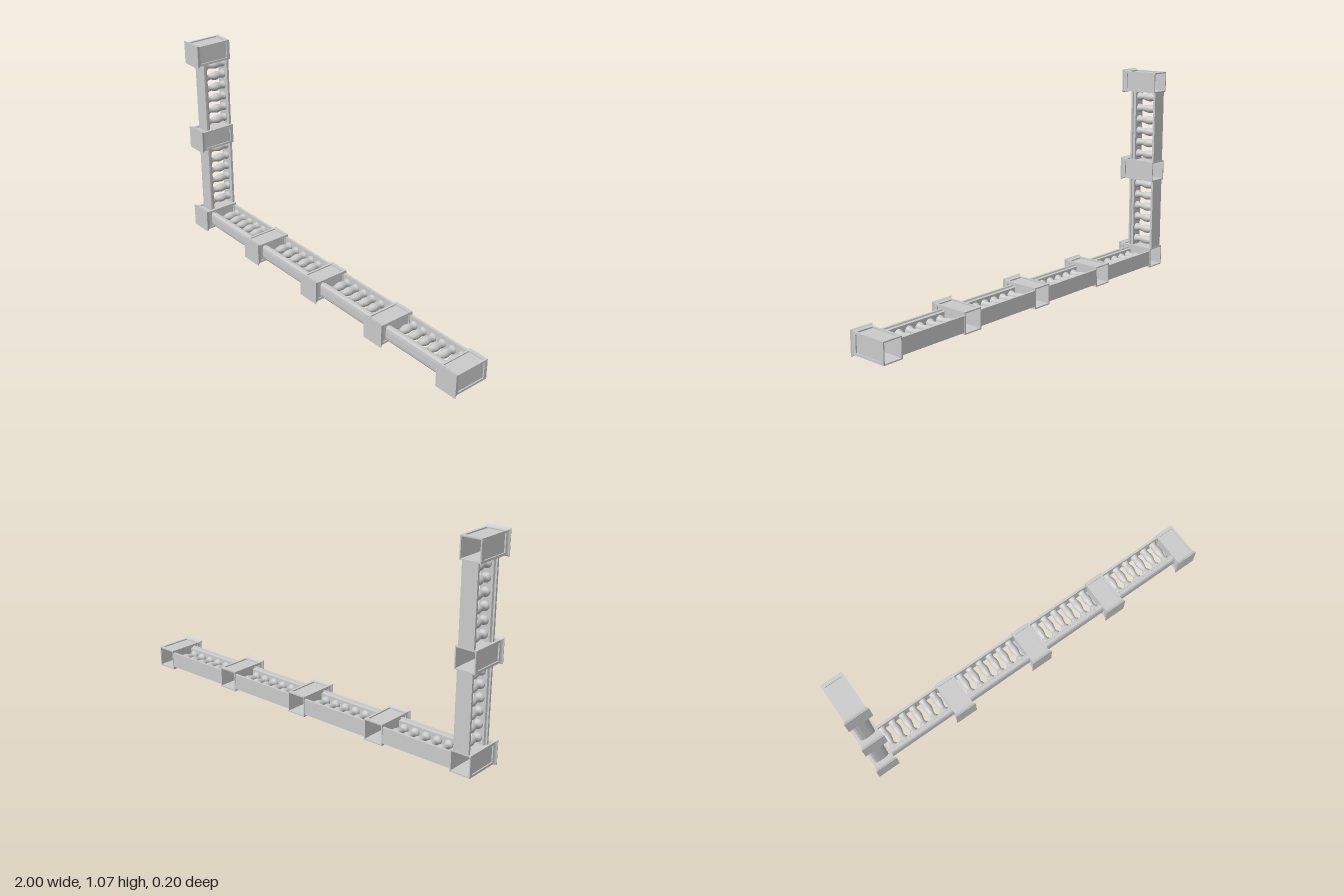
import * as THREE from 'three';

const mat = new THREE.MeshStandardMaterial({ color: 0xcccccc, side: THREE.DoubleSide });
const PITCH = 0.47, BODY = 0.052, BACK = -0.1, NECK = 0.08, TOP = 0.1;

function mesh(geometry, name) {
  const m = new THREE.Mesh(geometry, mat);
  m.name = name;
  return m;
}

function rectangle(path, x0, y0, x1, y1) {
  path.moveTo(x0, y0);
  path.lineTo(x1, y0);
  path.lineTo(x1, y1);
  path.lineTo(x0, y1);
  path.closePath();
  return path;
}

// Framed wall with a recessed panel, facing +x, height along z
function wallGeometries() {
  const depth = 0.006;
  const shape = rectangle(new THREE.Shape(), -BODY, BACK, BODY, NECK);
  shape.holes.push(rectangle(new THREE.Path(), -0.041, -0.082, 0.041, 0.076));
  const frame = new THREE.ExtrudeGeometry(shape, { depth, bevelEnabled: false });
  const panel = new THREE.PlaneGeometry(0.082, 0.158).translate(0, -0.003, 0);
  const basis = new THREE.Matrix4().makeBasis(
    new THREE.Vector3(0, 1, 0), new THREE.Vector3(0, 0, 1), new THREE.Vector3(1, 0, 0));
  return [frame, panel].map(g => g.applyMatrix4(basis).translate(BODY - depth, 0, 0));
}

// Square cap flaring outward to a flat top
function capGeometry() {
  const profile = [[BODY, NECK - 0.002], [0.053, 0.086], [0.055, 0.092], [0.06, 0.098], [0.06, TOP], [0, TOP]]
    .map(([r, y]) => new THREE.Vector2(r * Math.SQRT2, y));
  const g = new THREE.LatheGeometry(profile, 4).rotateY(Math.PI / 4).rotateX(Math.PI / 2).toNonIndexed();
  g.computeVertexNormals();
  return g;
}

// Turned baluster, axis along z
function balusterGeometry() {
  const points = [
    [0.021, -0.088], [0.021, -0.077], [0.0165, -0.073], [0.018, -0.062], [0.0215, -0.045], [0.022, -0.034],
    [0.019, -0.02], [0.015, -0.006], [0.0135, 0.004], [0.016, 0.012], [0.021, 0.018], [0.022, 0.026], [0.021, 0.032],
  ].map(([r, y]) => new THREE.Vector2(r, y));
  return new THREE.LatheGeometry(points, 16).rotateX(Math.PI / 2);
}

// Bar of the given section (across, height) running along x
function barGeometry(section, length) {
  const shape = new THREE.Shape(section.map(([u, v]) => new THREE.Vector2(u, v)));
  const g = new THREE.ExtrudeGeometry(shape, { depth: length, bevelEnabled: false }).translate(0, 0, -length / 2);
  return g.applyMatrix4(new THREE.Matrix4().makeBasis(
    new THREE.Vector3(0, 1, 0), new THREE.Vector3(0, 0, 1), new THREE.Vector3(1, 0, 0)));
}

export function createModel() {
  const model = new THREE.Group();
  model.name = 'balustrade';
  const [frame, panel] = wallGeometries();
  const cap = capGeometry();
  const baluster = balusterGeometry();
  const length = PITCH - 2 * BODY + 0.006;
  const rail = barGeometry([
    [-0.03, 0.03], [0.03, 0.03], [0.032, 0.042], [0.039, 0.044], [0.039, 0.054],
    [0.03, 0.06], [0.015, 0.062], [-0.015, 0.062], [-0.03, 0.06], [-0.039, 0.054], [-0.039, 0.044], [-0.032, 0.042],
  ], length);
  const base = barGeometry([[-0.039, -0.098], [0.039, -0.098], [0.039, -0.086], [-0.039, -0.086]], length);

  // Hollow post, open at the back
  function addPost(x, y) {
    const post = new THREE.Group();
    post.name = 'post';
    for (let i = 0; i < 4; i++) {
      const wall = new THREE.Group();
      wall.name = 'postWall';
      wall.add(mesh(frame, 'wallFrame'), mesh(panel, 'recessedPanel'));
      wall.rotation.z = i * Math.PI / 2;
      post.add(wall);
    }
    post.add(mesh(cap, 'postCap'));
    post.position.set(x, y, 0);
    model.add(post);
  }

  // Rail, base and six balusters between two posts
  function addSpan(x, y, angle) {
    const span = new THREE.Group();
    span.name = 'span';
    span.add(mesh(rail, 'handrail'), mesh(base, 'baseRail'));
    for (let i = 0; i < 6; i++) {
      const b = mesh(baluster, 'baluster');
      b.position.x = (i - 2.5) * 0.0613;
      span.add(b);
    }
    span.position.set(x, y, 0);
    span.rotation.z = angle;
    model.add(span);
  }

  // Long run; its far end sits slightly lower
  for (let i = 0; i < 5; i++) addPost(-0.94 + i * PITCH, i === 4 ? 0.06 : 0.066);
  for (let i = 0; i < 4; i++) addSpan(-0.705 + i * PITCH, i === 3 ? 0.063 : 0.066, 0);

  // Short run, turning the corner
  for (let i = 1; i < 3; i++) {
    addPost(-0.94, 0.066 + i * PITCH);
    addSpan(-0.94, 0.066 + (i - 0.5) * PITCH, Math.PI / 2);
  }
  return model;
}
